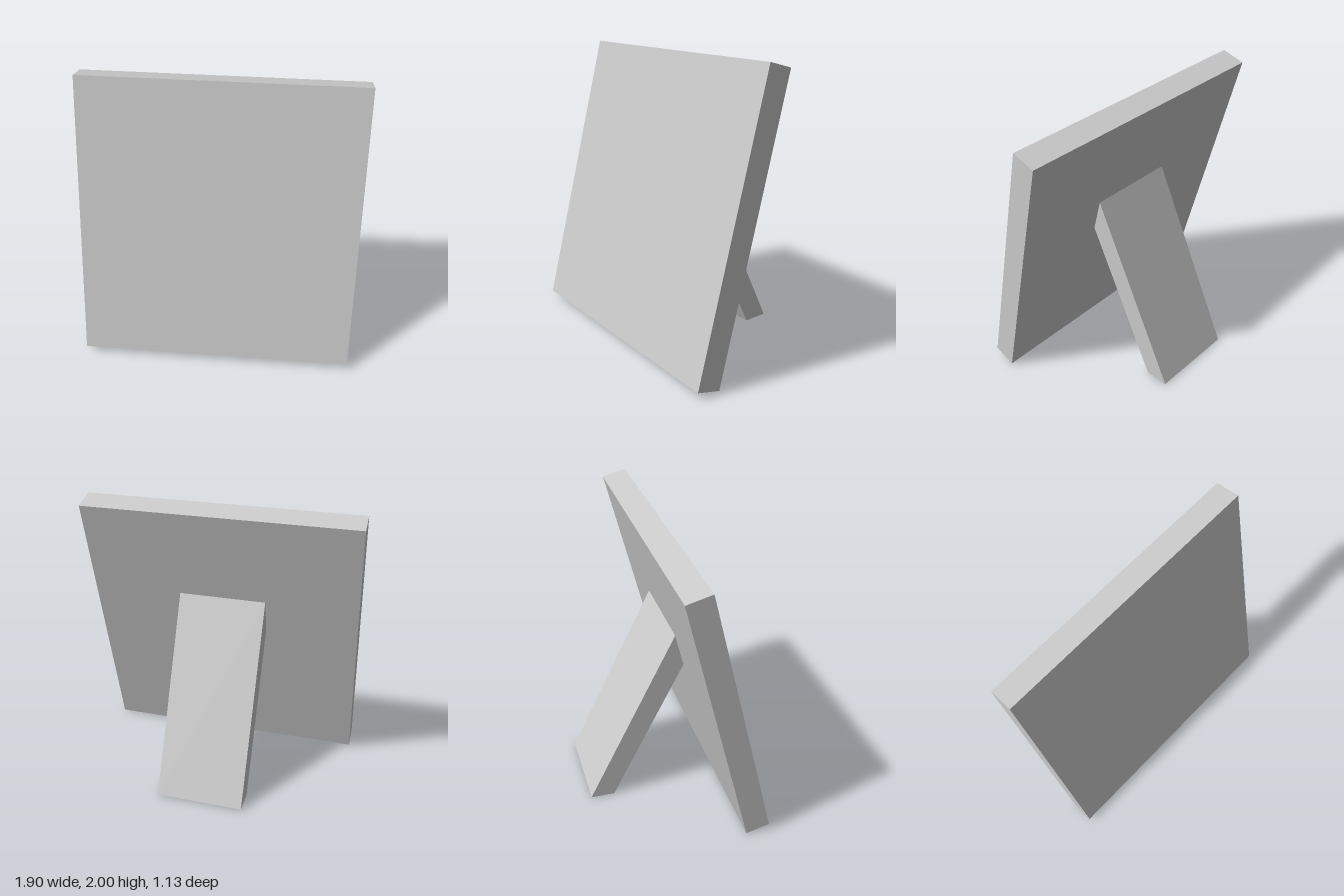
import * as THREE from 'three';

const material = new THREE.MeshStandardMaterial({ color: 0xcccccc, flatShading: true });

// Extrudes a side profile of [z, y] points across x, centred on x = 0
function slab(name, profile, width) {
  const shape = new THREE.Shape(profile.map(([z, y]) => new THREE.Vector2(z, y)));
  const geometry = new THREE.ExtrudeGeometry(shape, { depth: width, bevelEnabled: false });
  geometry.translate(0, 0, -width / 2);
  geometry.rotateY(-Math.PI / 2);
  const mesh = new THREE.Mesh(geometry, material);
  mesh.name = name;
  return mesh;
}

export function createModel() {
  const model = new THREE.Group();
  model.name = 'standingFrame';

  // Leaning front panel
  model.add(slab('panel', [[0.567, 0.05], [0.4, 0.006], [-0.106, 1.957], [0.06, 2]], 1.9));

  // Rear prop leg, cut flush against the panel's back
  model.add(slab('supportLeg', [[0.059, 1.325], [0.122, 1.08], [-0.394, 0], [-0.567, 0.006]], 0.615));

  return model;
}
